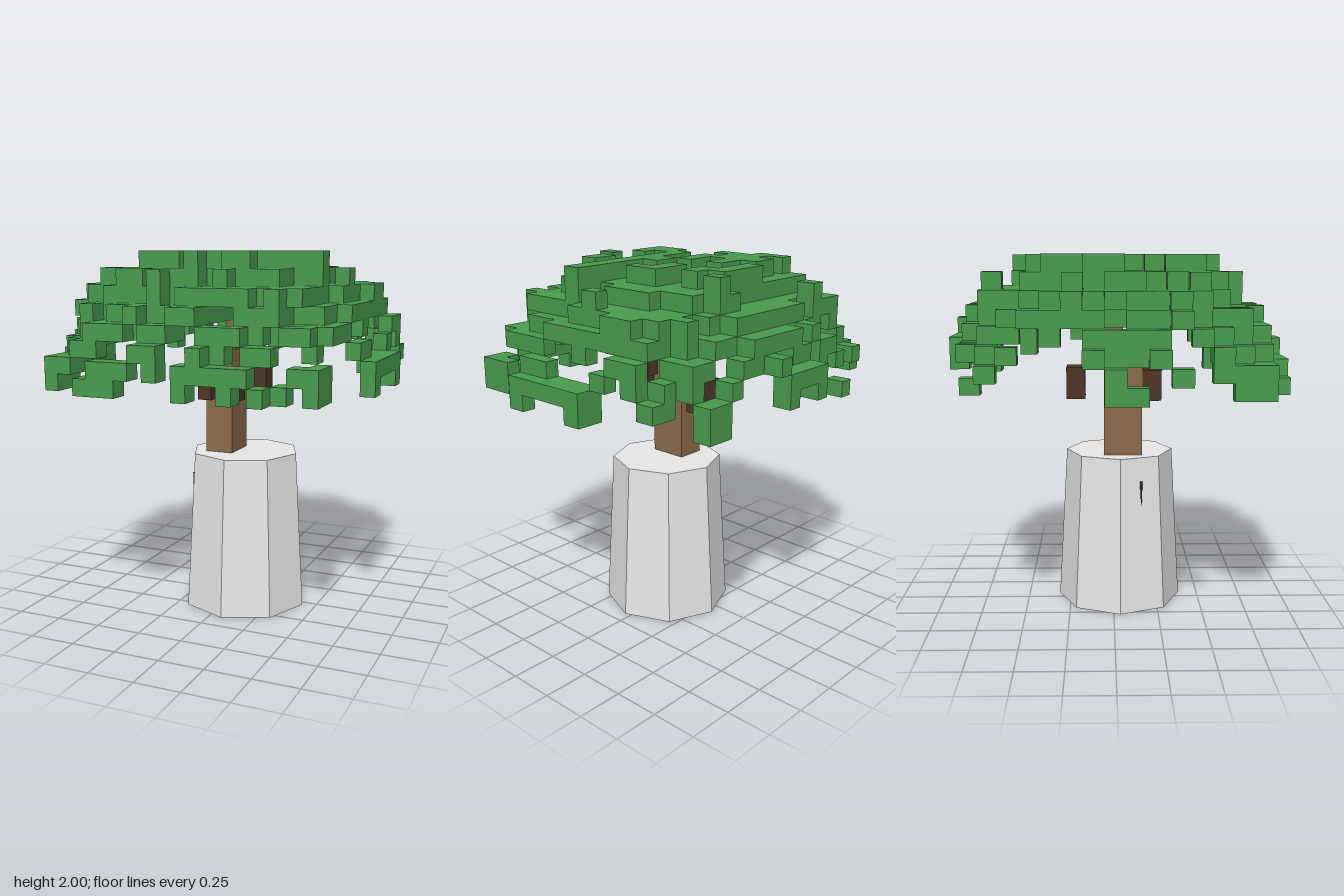
import * as THREE from 'three';

// Size of one block and the lowest corner of the block grid
const CELL = [0.0783, 0.0894, 0.1065];
const ORIGIN = [-0.9, 1.285, -0.905];

// First and last block column of each crown row, from back to front
const ROWS = [
  [10, 14], [4, 19], [2, 19], [2, 21], [2, 21], [2, 21], [2, 21],
  [0, 22], [0, 22], [0, 22], [0, 22], [0, 22],
  [2, 20], [2, 20], [2, 20], [2, 20], [5, 17],
];

// Bottom and top layer of the front rim where it frames the trunk, by column
const FRONT_RIM = { 9: [2, 3], 10: [1, 3], 12: [0, 2], 13: [1, 3] };

function seeded(seed) {
  return () => (seed = (seed * 16807) % 2147483647) / 2147483647;
}

// Dome-shaped shell of blocks with a ragged top and a loose rim
function crownBlocks() {
  const rand = seeded(90210);
  const solid = new Set();
  ROWS.forEach(([first, last], k) => {
    let bump = 0;
    for (let i = first; i <= last; i++) {
      if (i === 11 && k === 16) continue; // notch in the front rim
      if (rand() < 0.55) bump = 1.8 * rand() ** 1.5 - 0.7; // neighbours often share a height
      const x = Math.abs(i - 11) / 11.5, z = Math.abs(k - 8) / 8.5;
      const r = Math.pow(x ** 2.6 + z ** 2.6, 1 / 2.6);
      let top = THREE.MathUtils.clamp(Math.round(7.6 - 6 * r ** 4 + bump), 2, x > 0.92 ? 3 : 8);
      let bottom = Math.min(rand() < 0.35 ? 5 : 4, top - (rand() < 0.4 ? 2 : 1));
      if (r < 0.3) bottom = 4;

      // single hanging blocks along the rim
      const sideOpening = i > 12 && k > 4 && k < 12;
      if (r > 0.88 && !sideOpening && rand() < 0.2) [bottom, top] = [0, 1];

      // openings towards the trunk in front and on the left
      if (k > 11 && i > 8 && i < 13) {
        bottom = Math.max(bottom, k === 15 && i === 11 ? 2 : 3);
        top = Math.max(top, 4);
      }
      if (k === 16 && FRONT_RIM[i]) [bottom, top] = FRONT_RIM[i];
      if (i > 12 && (k === 8 || k === 9)) {
        bottom = Math.max(bottom, 3);
        top = Math.max(top, 4);
        if (i > 20) [bottom, top] = [1, 2];
      }
      if (i > 20 && k === 7) [bottom, top] = [0, 2];
      for (let j = bottom; j < top; j++) solid.add(`${i},${j},${k}`);
    }
  });
  return solid;
}

// Only the exposed faces of the blocks
function blockSurface(solid) {
  const positions = [];
  for (const key of solid) {
    const cell = key.split(',').map(Number);
    for (let axis = 0; axis < 3; axis++) {
      for (const side of [1, -1]) {
        const next = [...cell];
        next[axis] += side;
        if (solid.has(next.join())) continue;
        const u = (axis + 1) % 3, v = (axis + 2) % 3;
        const corner = (a, b) => {
          const p = [...cell];
          if (side > 0) p[axis] += 1;
          p[u] += a;
          p[v] += b;
          return p.map((n, d) => ORIGIN[d] + n * CELL[d]);
        };
        const q = [corner(0, 0), corner(1, 0), corner(1, 1), corner(0, 1)];
        if (side < 0) q.reverse();
        for (const n of [0, 1, 2, 0, 2, 3]) positions.push(...q[n]);
      }
    }
  }
  const geometry = new THREE.BufferGeometry();
  geometry.setAttribute('position', new THREE.Float32BufferAttribute(positions, 3));
  geometry.computeVertexNormals();
  return geometry;
}

export function createModel() {
  const model = new THREE.Group();
  model.name = 'pottedTree';
  const material = (name, color) => {
    const m = new THREE.MeshStandardMaterial({ color });
    m.name = name;
    return m;
  };
  const stone = material('paleStone', 0xe7e7e7);
  stone.flatShading = true;
  const bark = material('bark', 0x8b6b4a);
  const darkBark = material('darkBark', 0x4e3626);
  const leaf = material('leaf', 0x489c4d);

  const add = (name, geometry, mat, x = 0, y = 0, z = 0) => {
    const mesh = new THREE.Mesh(geometry, mat);
    mesh.name = name;
    mesh.position.set(x, y, z);
    model.add(mesh);
  };
  // Box covering grid blocks from one corner to the other
  const blockBox = (name, mat, from, to) => {
    const size = from.map((n, d) => (to[d] - n) * CELL[d]);
    const mid = from.map((n, d) => ORIGIN[d] + ((n + to[d]) / 2) * CELL[d]);
    add(name, new THREE.BoxGeometry(...size), mat, ...mid);
  };

  // Tapered eight-sided pot
  add('pot', new THREE.CylinderGeometry(0.305, 0.355, 0.885, 8), stone, 0.07, 0.4425, 0.036);

  // Small splinter showing through the pot wall
  add('splinter', new THREE.CylinderGeometry(0.007, 0.003, 0.14, 4), darkBark, -0.199, 0.68, 0.154);

  // Trunk
  blockBox('trunk', bark, [10, -4.5, 8], [12, 2, 10]);
  blockBox('upperTrunk', bark, [11, 2, 8], [13, 4.2, 9]);

  // Stubby branches at the corners of the trunk
  blockBox('frontRightBranch', darkBark, [10, -1, 10], [11, 1, 11]);
  blockBox('frontRightTwig', darkBark, [9, 1, 10], [10, 2, 11]);
  blockBox('frontLeftBranch', darkBark, [12, -1, 10], [13, 1, 11]);
  blockBox('leftTwig', darkBark, [13, 1, 9], [14, 3, 10]);
  blockBox('backBranch', darkBark, [11, -1, 6], [13, 1, 7]);
  blockBox('backBranchJoint', darkBark, [11, 1, 7], [12, 2, 8]);

  // Leafy crown
  add('crown', blockSurface(crownBlocks()), leaf);
  return model;
}
